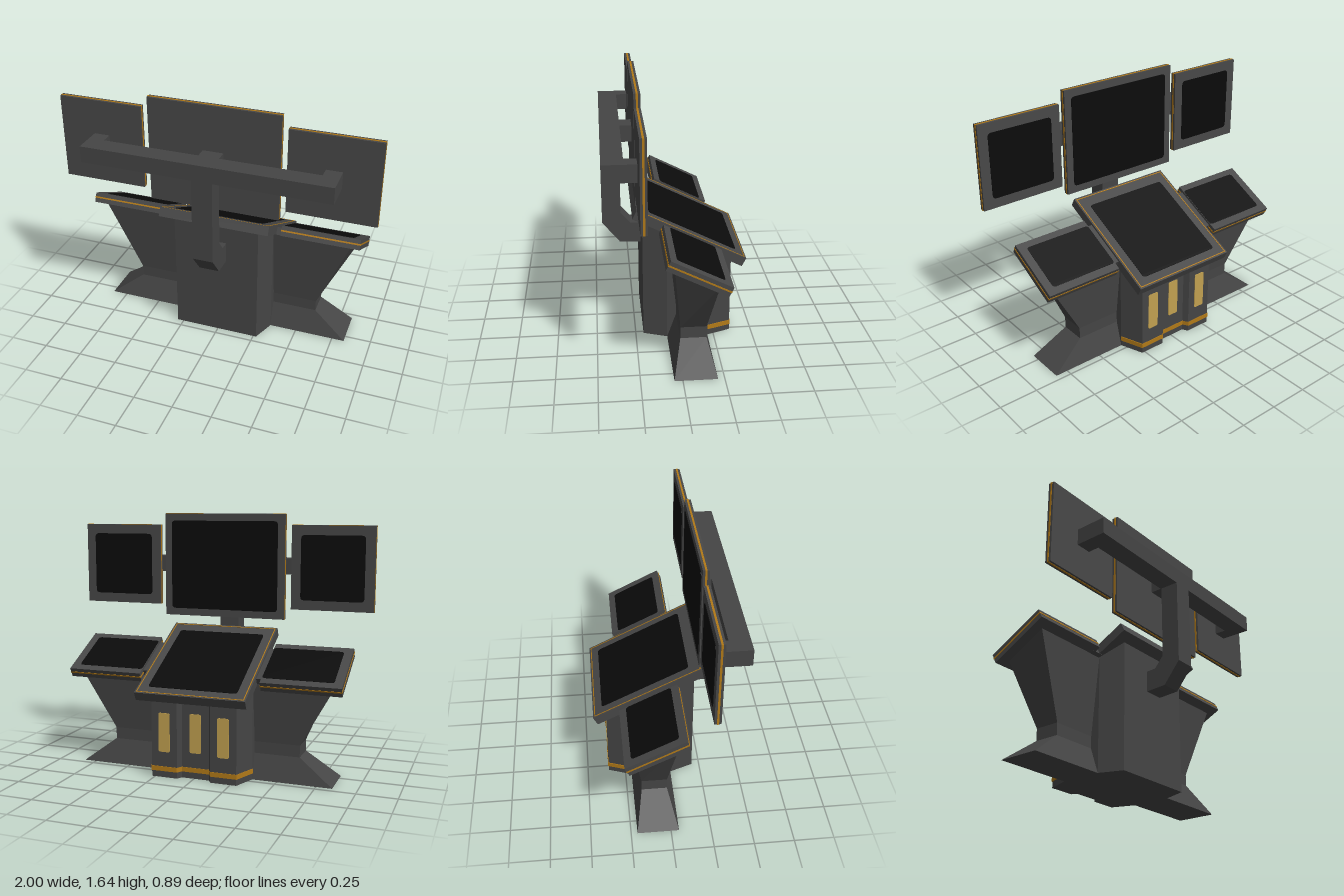
import * as THREE from 'three';

const mat = (name, color) => {
  const m = new THREE.MeshStandardMaterial({ color });
  m.name = name;
  return m;
};

export function createModel() {
  const body = mat('dark grey body', 0x454545);
  const frame = mat('grey frame', 0x484848);
  const glass = mat('black screen', 0x0b0b0b);
  const gold = mat('gold trim', 0xb27a18);
  const lamp = mat('pale gold panel', 0xc2a150);

  const model = new THREE.Group();
  model.name = 'controlConsole';

  const add = (parent, name, geo, material, x = 0, y = 0, z = 0) => {
    const m = new THREE.Mesh(geo, material);
    m.name = name;
    m.position.set(x, y, z);
    parent.add(m);
    return m;
  };
  const box = (parent, name, w, h, d, material, x, y, z) =>
    add(parent, name, new THREE.BoxGeometry(w, h, d), material, x, y, z);
  const polygon = pts => new THREE.Shape(pts.map(p => new THREE.Vector2(p[0], p[1])));
  const extrude = (shape, depth) =>
    new THREE.ExtrudeGeometry(shape, { depth, bevelEnabled: false, curveSegments: 4 });

  // Thin plate with rounded corners, centred on the origin
  const plate = (w, h, r, t = 0.006) => {
    const s = new THREE.Shape(), a = w / 2, b = h / 2;
    s.moveTo(-a + r, -b);
    s.lineTo(a - r, -b); s.quadraticCurveTo(a, -b, a, -b + r);
    s.lineTo(a, b - r); s.quadraticCurveTo(a, b, a - r, b);
    s.lineTo(-a + r, b); s.quadraticCurveTo(-a, b, -a, b - r);
    s.lineTo(-a, -b + r); s.quadraticCurveTo(-a, -b, -a + r, -b);
    return extrude(s, t).translate(0, 0, -t / 2);
  };

  // Height of the sloping underside of the desk at a given depth
  const under = z => 0.72 + 0.507 * z;

  const base = new THREE.Group();
  base.name = 'pedestal';
  base.position.x = -0.01;
  model.add(base);

  // Central column: chamfered footprint with a recessed middle at the operator side
  const rear = [[0.335, -0.21], [0.28, -0.36], [0.11, -0.36], [0.09, -0.325],
    [-0.09, -0.325], [-0.11, -0.36], [-0.28, -0.36], [-0.335, -0.21]];
  const footprint = [...rear, [-0.335, 0.05], [-0.28, 0.2], [0.28, 0.2], [0.335, 0.05]];
  const prism = (pts, h) => extrude(polygon(pts.map(([x, z]) => [x, -z])), h).rotateX(-Math.PI / 2);

  const columnGeo = prism(footprint, 1);
  const p = columnGeo.attributes.position;
  for (let i = 0; i < p.count; i++) if (p.getY(i) > 0.5) p.setY(i, under(p.getZ(i)));
  columnGeo.computeVertexNormals();
  add(base, 'column', columnGeo, body);

  // Gold kick stripe wrapped around the operator side
  const grow = rear.map(([x, z]) => [x * 1.012, -0.1 + (z + 0.1) * 1.015]);
  add(base, 'kickStripe', prism(grow, 0.03), gold, 0, 0.04, 0);

  // Three upright glowing panels
  for (const [x, z] of [[-0.195, -0.36], [0, -0.325], [0.195, -0.36]])
    add(base, 'uprightPanel', plate(0.075, 0.25, 0.012, 0.008), lamp, x, 0.29, z);

  // Side wings: pinched cross-sections from the foot to the desk
  const levels = [ // outer x, front z, back z, height (null follows the desk)
    [0.84, 0.05, -0.21, 0], [0.625, -0.005, -0.165, 0.16],
    [0.625, -0.005, -0.165, 0.235], [0.84, 0.05, -0.21, null]];
  const wing = side => {
    const rings = levels.map(([x, f, b, y]) => {
      const ring = [[0.3, f], [x, f], [x, b], [0.3, b]]
        .map(([px, pz]) => [px * side, y === null ? under(pz) : y, pz]);
      return side > 0 ? ring : ring.reverse();
    });
    const v = [];
    const quad = (a, b, c, d) => v.push(...a, ...b, ...c, ...a, ...c, ...d);
    for (let k = 0; k < rings.length - 1; k++)
      for (let i = 0; i < 4; i++) {
        const j = (i + 1) % 4;
        quad(rings[k][i], rings[k][j], rings[k + 1][j], rings[k + 1][i]);
      }
    const [a, b, c, d] = rings[0];
    quad(d, c, b, a);
    quad(...rings[rings.length - 1]);
    const g = new THREE.BufferGeometry();
    g.setAttribute('position', new THREE.Float32BufferAttribute(v, 3));
    g.computeVertexNormals();
    return g;
  };
  add(base, 'leftWing', wing(1), body);
  add(base, 'rightWing', wing(-1), body);

  // Sloping desk with three screens
  const desk = new THREE.Group();
  desk.name = 'desk';
  desk.position.set(0, 0.696, -0.09);
  desk.rotation.x = -0.469;
  base.add(desk);
  const flatScreen = (name, w, d, x, z) =>
    add(desk, name, plate(w, d, 0.02).rotateX(-Math.PI / 2), glass, x, 0.03, z);

  box(desk, 'centreDesk', 0.72, 0.06, 0.762, frame, 0, 0, 0);
  flatScreen('centreDeskScreen', 0.58, 0.61, 0, -0.01);
  for (const s of [-1, 1]) {
    box(desk, 'centreDeskTrimSide', 0.006, 0.003, 0.742, gold, s * 0.347, 0.03, 0);
    box(desk, 'centreDeskTrimEnd', 0.7, 0.003, 0.006, gold, 0, 0.03, s * 0.368);
    box(desk, 'sideDesk', 0.5, 0.064, 0.4, frame, s * 0.647, 0, 0.003);
    box(desk, 'sideDeskTrim', 0.504, 0.01, 0.404, gold, s * 0.647, 0.002, 0.003);
    box(desk, 'deskBridge', 0.08, 0.05, 0.31, body, s * 0.38, -0.008, 0.01);
    flatScreen('sideDeskScreen', 0.445, 0.31, s * 0.622, 0.005);
  }

  // Upright monitors: left edge, right edge, bottom, top, bezel
  for (const [name, x0, x1, y0, y1, bezel] of [
    ['rightMonitor', -1, -0.465, 1.025, 1.565, 0.062],
    ['centreMonitor', -0.42, 0.41, 0.955, 1.635, 0.047],
    ['leftMonitor', 0.45, 1, 1.025, 1.56, 0.062]]) {
    const w = x1 - x0, h = y1 - y0;
    const monitor = new THREE.Group();
    monitor.name = name;
    monitor.position.set((x0 + x1) / 2, (y0 + y1) / 2, 0.227);
    model.add(monitor);
    box(monitor, 'monitorFrame', w, h, 0.04, frame, 0, 0, 0);
    box(monitor, 'monitorTrim', w + 0.003, h + 0.003, 0.012, gold, 0, 0, 0);
    add(monitor, 'monitorScreen', plate(w - 2 * bezel, h - 2 * bezel, 0.025), glass, 0, 0, -0.02);
  }

  // Monitor arm: crossbar, three prongs and a bent post
  box(model, 'crossbar', 1.56, 0.105, 0.125, body, -0.003, 1.2925, 0.3825);
  for (const [x, w] of [[-0.733, 0.1], [-0.005, 0.13], [0.727, 0.1]])
    box(model, 'prong', w, 0.105, 0.085, body, x, 1.2925, 0.285);
  const post = polygon([[0.445, 1.25], [0.445, 0.7], [0.335, 0.565], [0.19, 0.557],
    [0.19, 0.69], [0.265, 0.695], [0.325, 0.765], [0.325, 1.25]]);
  add(model, 'post', extrude(post, 0.13).translate(0, 0, -0.065).rotateY(-Math.PI / 2), body, -0.005, 0, 0);

  return model;
}
